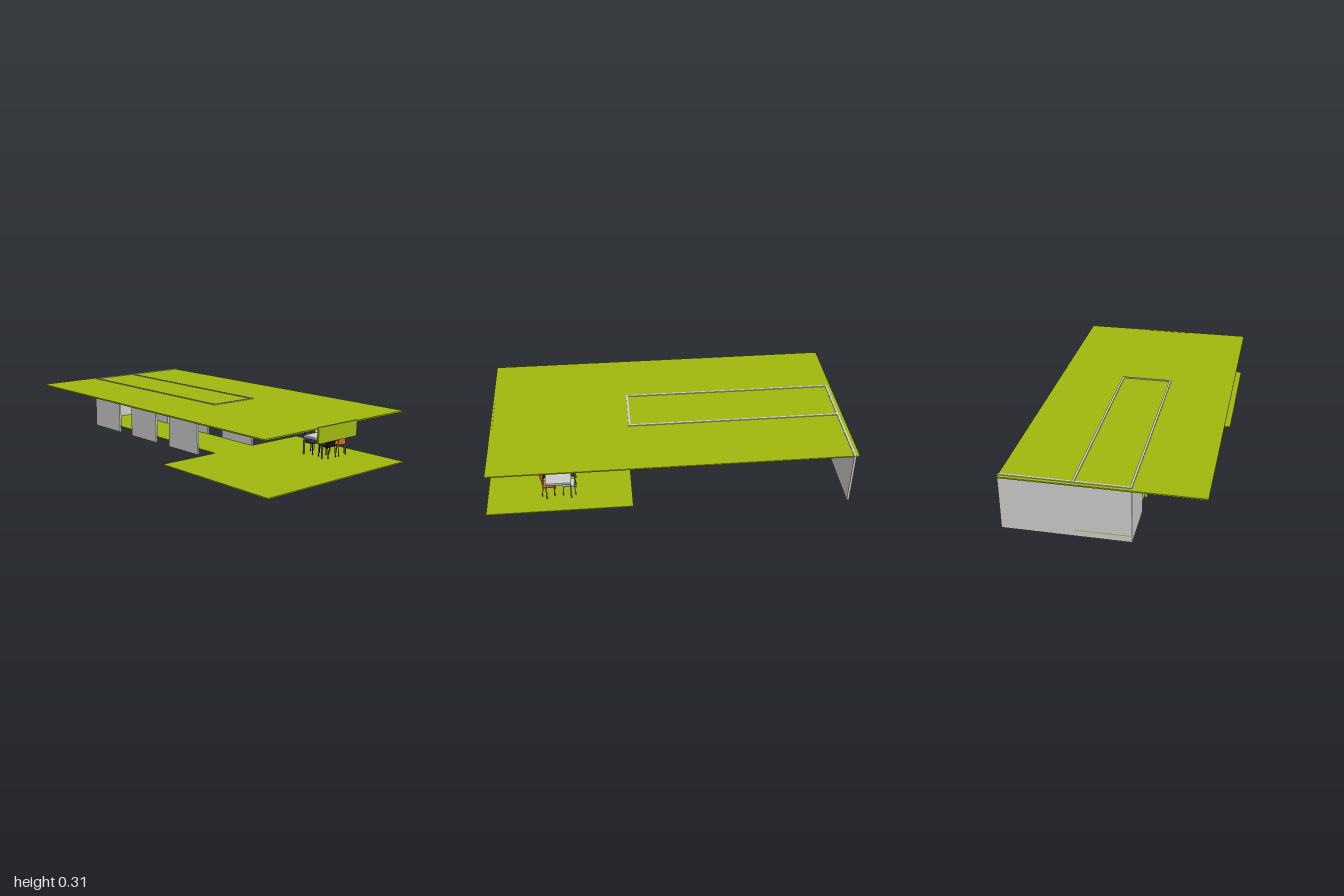
import * as THREE from 'three';

const mat = (color) => new THREE.MeshStandardMaterial({ color, side: THREE.DoubleSide });
const GREY = mat(0xcccccc), OLIVE = mat(0xa0b80e), STEEL = mat(0x8a8a8a);

// Box given by its lower and upper corners
function block(name, material, [x0, y0, z0], [x1, y1, z1]) {
  const mesh = new THREE.Mesh(new THREE.BoxGeometry(x1 - x0, y1 - y0, z1 - z0), material);
  mesh.position.set((x0 + x1) / 2, (y0 + y1) / 2, (z0 + z1) / 2);
  mesh.name = name;
  return mesh;
}

// Straight round bar between two points
function bar(name, material, a, b, radius) {
  const path = new THREE.LineCurve3(new THREE.Vector3(...a), new THREE.Vector3(...b));
  const mesh = new THREE.Mesh(new THREE.TubeGeometry(path, 1, radius, 8), material);
  mesh.name = name;
  return mesh;
}

const T = 0.012, WALL_TOP = 0.314, DOOR_TOP = 0.23, FLOOR = 0.038;
const X0 = -0.98, X1 = 0.21;

// Long wall with door notches that reach the ground
function corridorWall(name, z, doors) {
  const s = new THREE.Shape();
  s.moveTo(X0, WALL_TOP);
  s.lineTo(X0, 0);
  for (const [a, b] of doors) {
    s.lineTo(a, 0);
    s.lineTo(a, DOOR_TOP);
    s.lineTo(b, DOOR_TOP);
    if (b < X1) s.lineTo(b, 0);
  }
  if (doors[doors.length - 1][1] < X1) s.lineTo(X1, 0);
  s.lineTo(X1, WALL_TOP);
  const mesh = new THREE.Mesh(new THREE.ExtrudeGeometry(s, { depth: T, bevelEnabled: false }), GREY);
  mesh.position.z = z - T / 2;
  mesh.name = name;
  return mesh;
}

// Chair at the origin facing -x: the back is at +x
function chair(color) {
  const g = new THREE.Group(), m = mat(color);
  g.name = 'chair';
  g.add(block('chairSeat', m, [-0.033, 0.06, -0.031], [0.033, 0.066, 0.031]));
  for (const z of [-0.028, 0.028]) {
    g.add(bar('chairFrontLeg', m, [-0.032, 0, z * 1.08], [-0.03, 0.062, z], 0.0026));
    g.add(bar('chairBackLeg', m, [0.037, 0, z * 1.08], [0.03, 0.062, z], 0.0026));
  }
  // Tapered backrest that leans outwards
  const back = new THREE.BoxGeometry(0.004, 0.074, 0.062, 1, 6, 1);
  const p = back.attributes.position;
  for (let i = 0; i < p.count; i++) {
    const t = p.getY(i) / 0.074 + 0.5;
    p.setX(i, p.getX(i) + 0.03 + 0.012 * t * t);
    p.setZ(i, p.getZ(i) * (1 - 0.22 * t));
    p.setY(i, p.getY(i) + 0.098);
  }
  back.computeVertexNormals();
  const backrest = new THREE.Mesh(back, m);
  backrest.name = 'chairBackrest';
  g.add(backrest);
  return g;
}

export function createModel() {
  const model = new THREE.Group();
  model.name = 'pavilion';

  // Roof slab and the panel hanging from its far edge
  model.add(block('roof', OLIVE, [-1, 0.303, -0.51], [0.975, 0.31, 0.514]));
  model.add(block('hangingPanel', OLIVE, [0.964, 0.23, -0.134], [0.974, 0.312, 0.148]));

  // Floor: wide terrace with a narrow corridor strip
  const f = new THREE.Shape();
  [[X0, -0.144], [X1, -0.144], [X1, -0.51], [1, -0.51], [1, 0.5], [X1, 0.5], [X1, 0.138], [X0, 0.138]]
    .forEach(([x, y], i) => (i ? f.lineTo(x, y) : f.moveTo(x, y)));
  const floor = new THREE.Mesh(new THREE.ExtrudeGeometry(f, { depth: 0.006, bevelEnabled: false }), OLIVE);
  floor.rotation.x = -Math.PI / 2;
  floor.position.y = FLOOR - 0.006;
  floor.name = 'floor';
  model.add(floor);

  // Walls with staggered doorways
  model.add(corridorWall('frontWall', 0.144, [[-0.71, -0.58], [-0.33, -0.2], [0.06, X1]]));
  model.add(corridorWall('backWall', -0.138, [[X0 + T, -0.85], [-0.58, -0.445], [-0.18, -0.05]]));
  model.add(block('endWall', GREY, [X0, 0, -0.515], [X0 + T, WALL_TOP - 0.001, 0.15]));
  model.add(block('endLintel', GREY, [X1 - T, DOOR_TOP, -0.138], [X1, WALL_TOP, 0.144]));

  // Table
  const table = new THREE.Group();
  table.name = 'table';
  table.add(block('tableTop', GREY, [0.54, 0.138, -0.402], [0.68, 0.145, -0.21]));
  for (const x of [0.54, 0.673])
    for (const z of [-0.402, -0.217])
      table.add(block('tableLeg', STEEL, [x, FLOOR, z], [x + 0.007, 0.138, z + 0.007]));
  for (const z of [-0.401, -0.216])
    table.add(block('tableRail', STEEL, [0.545, 0.13, z], [0.675, 0.138, z + 0.005]));
  for (const x of [0.541, 0.674])
    table.add(block('tableRail', STEEL, [x, 0.13, -0.4], [x + 0.005, 0.138, -0.212]));
  model.add(table);

  // Two chairs on each long side of the table
  [[1, -0.265, 0x111111], [1, -0.35, 0xd9702a], [-1, -0.265, 0x2c3238], [-1, -0.35, 0xdddddd]]
    .forEach(([side, z, color]) => {
      const c = chair(color);
      c.position.set(0.61 + side * 0.055, FLOOR, z);
      if (side < 0) c.rotation.y = Math.PI;
      model.add(c);
    });

  return model;
}
